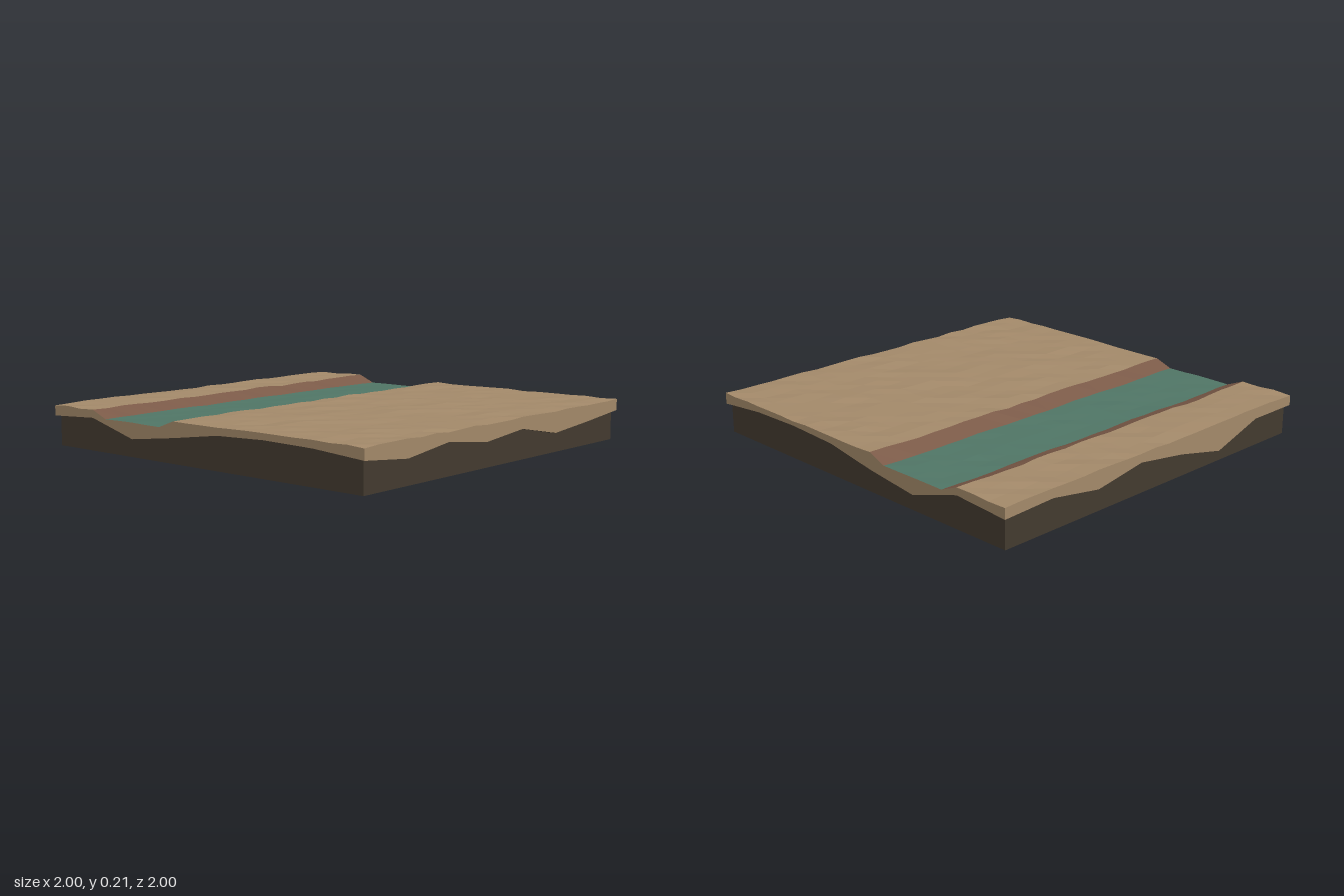
import * as THREE from 'three';

const N = 21;                 // grid cells per side
const INSET = 0.98;           // half width of the base block
const TAN = 0xa58b6b, BANK = 0x7b5a48, WATER = 0x517767, EARTH = 0x443b30;

// Skirt bottom heights, eight per side, running towards +x or +z
const FRONT = [0.15, 0.122, 0.158, 0.123, 0.15, 0.098, 0.122, 0.15];
const BACK = [0.15, 0.15, 0.06, 0.12, 0.16, 0.115, 0.16, 0.15];
const RIGHT = [0.15, 0.17, 0.085, 0.12, 0.168, 0.18, 0.175, 0.15];
const LEFT = [0.15, 0.165, 0.09, 0.125, 0.165, 0.175, 0.17, 0.15];

const hash = (i, j) => {
  const s = Math.sin(i * 127.1 + j * 311.7) * 43758.5453;
  return s - Math.floor(s);
};

// Ground point: flat land with a sunken channel and slight roughness
function ground(i, j) {
  const inner = j > 0 && j < N;
  const wiggle = inner ? 0.005 * Math.sin(i * 0.9 + 1) + 0.004 * (hash(i, 99) - 0.5) : 0;
  const low = j >= 4 && j <= 8;
  const y = (low ? 0.168 : 0.204) + (hash(i, j) - 0.5) * (low ? 0.004 : 0.008);
  return new THREE.Vector3(-1 + 2 * i / N, y, -1 + 2 * j / N + wiggle);
}

function skirtHeight(profile, k) {
  const t = k / N * 7, a = Math.min(6, Math.floor(t));
  return THREE.MathUtils.lerp(profile[a], profile[a + 1], t - a);
}

// Faceted mesh from a list of four-cornered faces (counter-clockwise)
function quadMesh(name, color, quads) {
  const pts = [];
  for (const [a, b, c, d] of quads) pts.push(a, b, c, a, c, d);
  const geometry = new THREE.BufferGeometry().setFromPoints(pts);
  geometry.computeVertexNormals();
  const material = new THREE.MeshStandardMaterial({ color, flatShading: true });
  const mesh = new THREE.Mesh(geometry, material);
  mesh.name = name;
  return mesh;
}

function strip(name, color, j0, j1) {
  const quads = [];
  for (let j = j0; j < j1; j++)
    for (let i = 0; i < N; i++)
      quads.push([ground(i, j), ground(i, j + 1), ground(i + 1, j + 1), ground(i + 1, j)]);
  return quadMesh(name, color, quads);
}

export function createModel() {
  const group = new THREE.Group();

  // Top surface in bands from back to front
  group.add(
    strip('backLand', TAN, 0, 3),
    strip('backBank', BANK, 3, 4),
    strip('riverBed', WATER, 4, 8),
    strip('frontBank', BANK, 8, 9),
    strip('frontLand', TAN, 9, N)
  );

  // Each side: soil skirt with a ragged lower edge, ledge and base wall below it
  const sides = [
    ['front', FRONT, k => ground(k, N), false],
    ['right', RIGHT, k => ground(N, k), true],
    ['back', BACK, k => ground(k, 0), true],
    ['left', LEFT, k => ground(0, k), false]
  ];
  for (const [side, profile, edge, flip] of sides) {
    const skirt = [], ledge = [], wall = [];
    const column = k => {
      const top = edge(k);
      const hem = top.clone().setY(skirtHeight(profile, k));
      const inner = new THREE.Vector3(top.x * INSET, hem.y, top.z * INSET);
      return [top, hem, inner, inner.clone().setY(0)];
    };
    for (let k = 0; k < N; k++) {
      const a = column(flip ? k + 1 : k), b = column(flip ? k : k + 1);
      [skirt, ledge, wall].forEach((list, r) => list.push([a[r + 1], b[r + 1], b[r], a[r]]));
    }
    group.add(
      quadMesh(side + 'SoilSkirt', TAN, skirt),
      quadMesh(side + 'Ledge', EARTH, ledge),
      quadMesh(side + 'BaseWall', EARTH, wall)
    );
  }

  // Underside
  const bottom = new THREE.Mesh(
    new THREE.PlaneGeometry(2 * INSET, 2 * INSET).rotateX(Math.PI / 2),
    new THREE.MeshStandardMaterial({ color: EARTH, flatShading: true })
  );
  bottom.name = 'baseBottom';
  group.add(bottom);
  return group;
}
